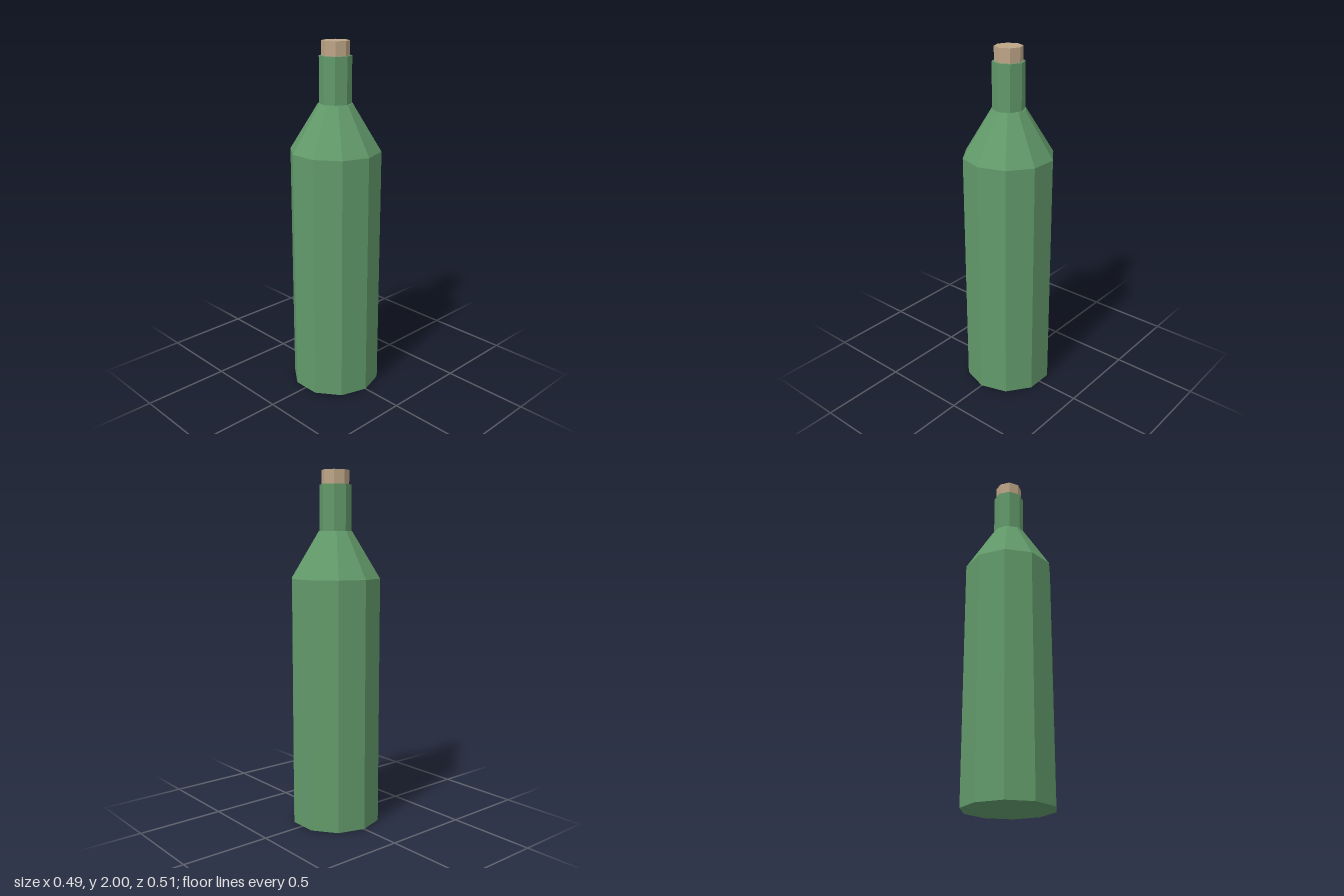
import * as THREE from 'three';

export function createModel() {
  const bottle = new THREE.Group();
  bottle.name = 'bottle';

  const glass = new THREE.MeshStandardMaterial({ color: 0x629a6a, flatShading: true });
  glass.name = 'green glass';
  const corkWood = new THREE.MeshStandardMaterial({ color: 0xbda587, flatShading: true });
  corkWood.name = 'cork';

  // Faceted, capped section standing between two heights
  function section(name, material, sides, bottomRadius, topRadius, y0, y1) {
    const geometry = new THREE.CylinderGeometry(topRadius, bottomRadius, y1 - y0, sides);
    geometry.translate(0, (y0 + y1) / 2, 0);
    const mesh = new THREE.Mesh(geometry, material);
    mesh.name = name;
    bottle.add(mesh);
  }

  // Ten-sided body: straight wall and tapering shoulder in one outline
  const outline = [[0, 0], [0.256, 0], [0.256, 1.408], [0.096, 1.668], [0, 1.668]];
  const body = new THREE.Mesh(
    new THREE.LatheGeometry(outline.map(([r, y]) => new THREE.Vector2(r, y)), 10),
    glass
  );
  body.name = 'body';
  bottle.add(body);

  // Eight-sided neck and the stopper set into it
  section('neck', glass, 8, 0.089, 0.089, 1.66, 1.922);
  section('stopper', corkWood, 8, 0.077, 0.077, 1.88, 2);

  return bottle;
}
